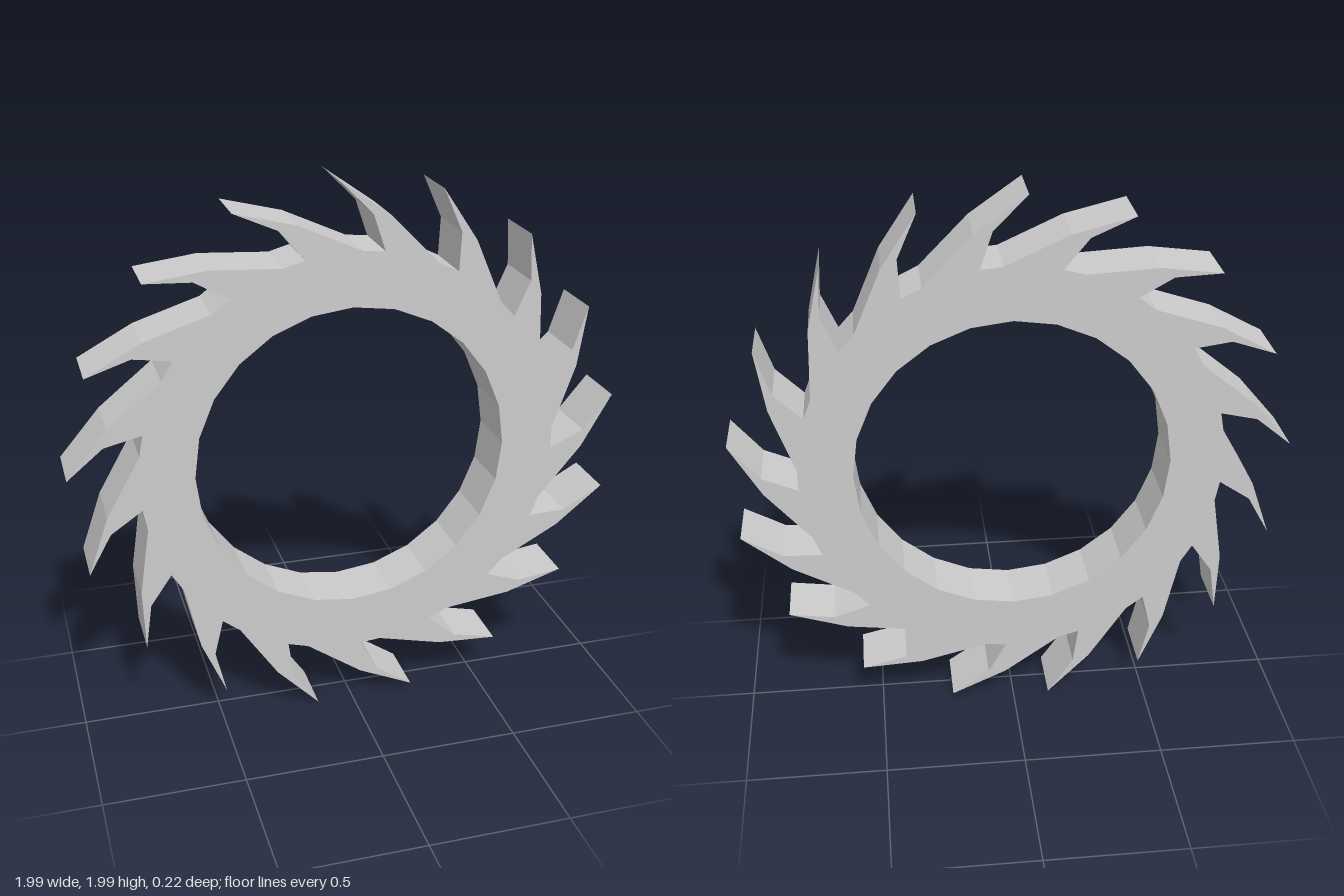
import * as THREE from 'three';

const TEETH = 17;
const DEPTH = 0.216;
const HOLE_RADIUS = 0.565;
const HOLE_SIDES = 24;

// One tooth, clockwise from its tip, relative to the ring centre
const TOOTH = [
  [-0.05, 1.0],    // tip
  [0.132, 0.872],  // back of the tooth
  [0.305, 0.695],  // gullet start
  [0.375, 0.66],   // gullet end
  [0.382, 0.797],  // hooked face of the next tooth
];

export function createModel() {
  const group = new THREE.Group();
  group.name = 'toothedRing';

  // Outline: the tooth repeated clockwise around the ring
  const centre = new THREE.Vector2();
  const outline = [];
  for (let i = 0; i < TEETH; i++) {
    const angle = -i * Math.PI * 2 / TEETH;
    for (const [x, y] of TOOTH) {
      outline.push(new THREE.Vector2(x, y).rotateAround(centre, angle));
    }
  }
  const shape = new THREE.Shape(outline);

  // Round bore
  const bore = [];
  for (let i = 0; i < HOLE_SIDES; i++) {
    const a = i * Math.PI * 2 / HOLE_SIDES;
    bore.push(new THREE.Vector2(Math.cos(a), Math.sin(a)).multiplyScalar(HOLE_RADIUS));
  }
  shape.holes.push(new THREE.Path(bore));

  const geometry = new THREE.ExtrudeGeometry(shape, { depth: DEPTH, bevelEnabled: false });
  geometry.translate(0, 1, -DEPTH / 2);

  const ring = new THREE.Mesh(
    geometry,
    new THREE.MeshStandardMaterial({ color: 0xcccccc, flatShading: true })
  );
  ring.name = 'sawToothRing';
  group.add(ring);
  return group;
}
